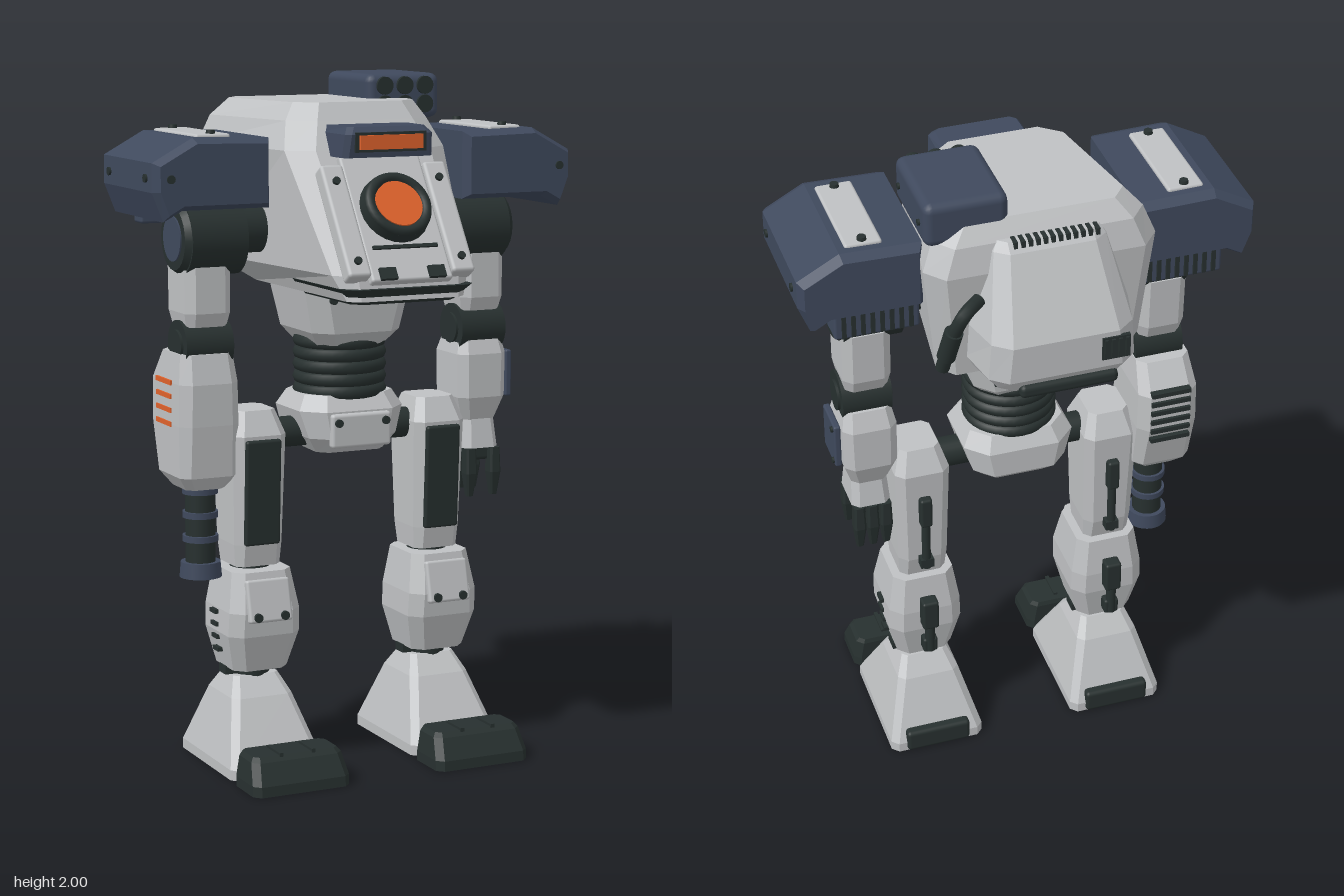
import * as THREE from 'three';
import { RoundedBoxGeometry } from 'three/addons/geometries/RoundedBoxGeometry.js';

const material = (name, color) => {
  const m = new THREE.MeshStandardMaterial({ color });
  m.name = name;
  return m;
};
const grey = material('light grey armour', 0xbfc1c3);
const blue = material('slate blue armour', 0x3f495d);
const dark = material('dark metal', 0x27302f);
const orange = material('orange glow', 0xe0632c);

function add(parent, name, mat, geo, x = 0, y = 0, z = 0) {
  const m = new THREE.Mesh(geo, mat);
  m.name = name;
  m.position.set(x, y, z);
  parent.add(m);
  return m;
}
const group = (parent, name, x = 0, y = 0, z = 0) => {
  const g = new THREE.Group();
  g.name = name;
  g.position.set(x, y, z);
  parent.add(g);
  return g;
};
const box = (p, name, mat, w, h, d, x, y, z) => add(p, name, mat, new THREE.BoxGeometry(w, h, d), x, y, z);
const rbox = (p, name, mat, w, h, d, x, y, z, r = 0.015) =>
  add(p, name, mat, new RoundedBoxGeometry(w, h, d, 2, r), x, y, z);
function cyl(p, name, mat, r0, r1, len, x, y, z, axis = 'y') {
  const g = new THREE.CylinderGeometry(r1, r0, len, 24);
  if (axis === 'x') g.rotateZ(-Math.PI / 2);
  if (axis === 'z') g.rotateX(Math.PI / 2);
  return add(p, name, mat, g, x, y, z);
}

// Stacked chamfered sections, bottom to top: [y, frontHalfWidth, backHalfWidth, zFront, zBack, chamfer]
function loft(p, name, mat, rows, x = 0, y = 0, z = 0) {
  const pos = [], idx = [], n = 8;
  for (const [h, wf, wb, zf, zb, c] of rows) {
    const k = [[wf, zf], [wb, zb], [-wb, zb], [-wf, zf]].map(q => new THREE.Vector2(...q));
    k.forEach((q, i) => {
      for (const other of [k[(i + 3) % 4], k[(i + 1) % 4]]) {
        const v = other.clone().sub(q).setLength(c).add(q);
        pos.push(v.x, h, v.y);
      }
    });
  }
  for (let r = 0; r < rows.length - 1; r++) {
    for (let i = 0; i < n; i++) {
      const a = r * n + i, b = r * n + (i + 1) % n;
      idx.push(a, b, b + n, a, b + n, a + n);
    }
  }
  const t = (rows.length - 1) * n;
  for (let i = 1; i < n - 1; i++) idx.push(0, i + 1, i, t, t + i, t + i + 1);
  const indexed = new THREE.BufferGeometry();
  indexed.setAttribute('position', new THREE.Float32BufferAttribute(pos, 3));
  indexed.setIndex(idx);
  const geo = indexed.toNonIndexed();
  geo.computeVertexNormals();
  return add(p, name, mat, geo, x, y, z);
}

function buildTorso(root) {
  const g = group(root, 'torso');
  loft(g, 'chestHull', grey, [
    [1.40, 0.18, 0.20, 0.46, -0.18, 0.03], [1.47, 0.205, 0.30, 0.447, -0.31, 0.05],
    [1.80, 0.24, 0.34, 0.227, -0.335, 0.06], [1.88, 0.21, 0.31, 0.173, -0.315, 0.06],
    [1.93, 0.18, 0.26, 0.14, -0.275, 0.05]]);
  loft(g, 'lowerJaw', dark, [[1.39, 0.16, 0.17, 0.44, 0.1, 0.03], [1.435, 0.2, 0.21, 0.475, 0.1, 0.03]]);

  // Sloping chest panel, local z points out of the slope
  const panel = group(g, 'chestPanel', 0, 1.63, 0.34);
  panel.rotation.x = -0.588;
  rbox(panel, 'centrePlate', grey, 0.25, 0.4, 0.03, 0, -0.02, 0.005, 0.008);
  for (const s of [-1, 1]) {
    rbox(panel, 'sideRail', grey, 0.07, 0.35, 0.05, s * 0.16, -0.03, 0.005, 0.01);
    for (const v of [-0.16, 0.09]) cyl(panel, 'railBolt', dark, 0.011, 0.011, 0.01, s * 0.16, v, 0.034, 'z');
    box(panel, 'chinVent', dark, 0.05, 0.035, 0.03, s * 0.075, -0.2, 0.015);
  }
  box(panel, 'panelSeam', dark, 0.2, 0.01, 0.01, 0, -0.118, 0.022);
  cyl(panel, 'lensHousing', dark, 0.106, 0.1, 0.04, 0, 0, 0.03, 'z');
  add(panel, 'lensRim', dark, new THREE.TorusGeometry(0.085, 0.015, 8, 32), 0, 0, 0.05);
  cyl(panel, 'lens', orange, 0.07, 0.07, 0.008, 0, 0, 0.054, 'z');

  // Head with visor
  loft(g, 'head', blue, [[1.785, 0.14, 0.14, 0.325, 0.15, 0.015], [1.85, 0.135, 0.135, 0.335, 0.15, 0.015],
    [1.87, 0.12, 0.125, 0.315, 0.165, 0.015]]);
  box(g, 'visorFrame', dark, 0.22, 0.055, 0.01, 0, 1.828, 0.331);
  box(g, 'visor', orange, 0.195, 0.04, 0.009, 0, 1.828, 0.339);

  // Launcher
  rbox(g, 'launcher', blue, 0.235, 0.13, 0.29, 0.205, 1.935, -0.135, 0.025);
  for (const x of [0.14, 0.205, 0.27]) for (const y of [1.966, 1.912]) {
    cyl(g, 'launchTube', dark, 0.026, 0.026, 0.02, x, y, 0.008, 'z');
  }
  for (const z of [-0.23, -0.04]) cyl(g, 'launcherBolt', dark, 0.009, 0.009, 0.01, 0.324, 1.93, z, 'x');

  // Backpack
  loft(g, 'backpack', grey, [[1.49, 0.22, 0.17, -0.27, -0.455, 0.03], [1.53, 0.24, 0.2, -0.27, -0.475, 0.04],
    [1.64, 0.24, 0.19, -0.27, -0.475, 0.04], [1.86, 0.18, 0.15, -0.25, -0.355, 0.03],
    [1.885, 0.16, 0.14, -0.25, -0.33, 0.02]], -0.01);
  rbox(g, 'backpackVent', dark, 0.28, 0.04, 0.12, -0.02, 1.492, -0.42);
  for (let i = 0; i < 12; i++) box(g, 'topSlat', dark, 0.011, 0.02, 0.035, -0.14 + i * 0.021, 1.879, -0.328);
  box(g, 'rearHatch', dark, 0.08, 0.07, 0.012, -0.15, 1.59, -0.474);
  for (let i = 0; i < 4; i++) box(g, 'hatchFin', dark, 0.01, 0.06, 0.012, -0.18 + i * 0.02, 1.59, -0.48);
  const path = new THREE.CatmullRomCurve3([[0.2, 1.74, -0.36], [0.25, 1.73, -0.4], [0.28, 1.65, -0.38],
    [0.3, 1.53, -0.345]].map(q => new THREE.Vector3(...q)));
  add(g, 'exhaustPipe', dark, new THREE.TubeGeometry(path, 16, 0.02, 10));
  const muffler = cyl(g, 'exhaustMuffler', dark, 0.026, 0.026, 0.1, 0.285, 1.62, -0.37);
  muffler.rotation.set(-0.28, 0, 0.15);

  // Waist and pelvis
  loft(g, 'upperWaist', grey, [[1.23, 0.11, 0.11, 0.12, -0.12, 0.04], [1.27, 0.14, 0.14, 0.16, -0.16, 0.05],
    [1.41, 0.17, 0.17, 0.175, -0.175, 0.05]]);
  for (let i = 0; i < 7; i++) box(g, 'waistSlat', dark, 0.013, 0.075, 0.012, -0.09 + i * 0.03, 1.34, -0.17);
  for (const x of [-0.1, 0.1]) cyl(g, 'waistBolt', dark, 0.012, 0.012, 0.012, x, 1.37, 0.174, 'z');
  cyl(g, 'waistCore', dark, 0.115, 0.115, 0.24, 0, 1.16, 0);
  for (let i = 0; i < 5; i++) {
    const ring = add(g, 'waistRing', dark, new THREE.TorusGeometry(0.118, 0.02, 8, 32), 0, 1.09 + i * 0.036, 0);
    ring.rotation.x = Math.PI / 2;
  }
  loft(g, 'pelvis', grey, [[0.915, 0.11, 0.1, 0.1, -0.1, 0.03], [0.96, 0.14, 0.14, 0.14, -0.15, 0.05],
    [1.04, 0.165, 0.165, 0.14, -0.15, 0.06], [1.085, 0.14, 0.14, 0.11, -0.12, 0.05]]);
  rbox(g, 'pelvisPlate', grey, 0.19, 0.1, 0.03, 0, 0.985, 0.14, 0.01);
  for (const x of [-0.075, 0.075]) cyl(g, 'pelvisBolt', dark, 0.012, 0.012, 0.012, x, 1.01, 0.157, 'z');
}

function buildShoulder(root, s) {
  const g = group(root, s > 0 ? 'leftShoulder' : 'rightShoulder');
  const shape = new THREE.Shape([[0.32, 1.825], [0.53, 1.83], [0.64, 1.77], [0.64, 1.7], [0.615, 1.635],
    [0.57, 1.66], [0.32, 1.66]].map(([x, y]) => new THREE.Vector2(s * x, y)));
  add(g, 'shoulderPod', blue, new THREE.ExtrudeGeometry(shape,
    { depth: 0.37, bevelThickness: 0.03, bevelSize: 0.015, bevelSegments: 1 }), 0, 0, -0.187);
  rbox(g, 'podPlate', grey, 0.105, 0.02, 0.32, s * 0.46, 1.842, -0.005, 0.008);
  for (const z of [-0.145, 0.135]) cyl(g, 'plateBolt', dark, 0.014, 0.012, 0.014, s * 0.46, 1.855, z);
  for (const z of [-0.14, 0.14]) cyl(g, 'podBolt', dark, 0.012, 0.012, 0.012, s * 0.655, 1.735, z, 'x');
  cyl(g, 'podFrontBolt', dark, 0.012, 0.012, 0.012, s * 0.61, 1.735, 0.212, 'z');
  // Rear vent under the pod
  rbox(g, 'podVentBlock', blue, 0.24, 0.12, 0.06, s * 0.44, 1.64, -0.175, 0.008);
  for (let i = 0; i < 8; i++) box(g, 'podVentSlat', dark, 0.012, 0.075, 0.012, s * (0.345 + i * 0.027), 1.625, -0.205);
  // Joint and upper arm
  cyl(g, 'shoulderJoint', dark, 0.108, 0.108, 0.17, s * 0.42, 1.55, 0.005, 'x');
  cyl(g, 'shoulderNeck', dark, 0.07, 0.07, 0.12, s * 0.32, 1.57, 0.005, 'x');
  cyl(g, 'jointRim', dark, 0.108, 0.09, 0.025, s * 0.51, 1.55, 0.005, 'x').rotation.y = s > 0 ? 0 : Math.PI;
  cyl(g, 'jointCap', blue, 0.065, 0.065, 0.01, s * 0.522, 1.55, 0.005, 'x');
  loft(g, 'upperArm', grey, [[1.3, 0.062, 0.062, 0.065, -0.075, 0.02], [1.34, 0.07, 0.07, 0.08, -0.09, 0.025],
    [1.5, 0.07, 0.07, 0.08, -0.095, 0.025]], s * 0.44);
  cyl(g, 'elbow', dark, 0.073, 0.073, 0.145, s * 0.44, 1.245, 0.005, 'x');
  cyl(g, 'elbowCap', dark, 0.045, 0.045, 0.16, s * 0.44, 1.245, 0.005, 'x');
}

function buildGunArm(root) {
  const g = group(root, 'gunForearm', -0.445, 0, 0);
  loft(g, 'forearmShell', grey, [[0.83, 0.06, 0.06, 0.06, -0.08, 0.02], [0.87, 0.088, 0.088, 0.09, -0.12, 0.025],
    [1.02, 0.092, 0.092, 0.1, -0.16, 0.03], [1.14, 0.09, 0.09, 0.1, -0.16, 0.03],
    [1.225, 0.08, 0.08, 0.08, -0.1, 0.025]]);
  for (let i = 0; i < 6; i++) box(g, 'coolingFin', dark, 0.12, 0.014, 0.022, 0, 0.99 + i * 0.032, -0.158);
  for (let i = 0; i < 4; i++) box(g, 'glowStrip', orange, 0.009, 0.014, 0.11, -0.091, 1.02 + i * 0.04, -0.04);
  cyl(g, 'barrel', dark, 0.044, 0.044, 0.26, 0, 0.72, 0);
  for (const y of [0.82, 0.75, 0.68]) cyl(g, 'barrelRing', blue, 0.052, 0.052, 0.018, 0, y, 0);
  cyl(g, 'muzzle', blue, 0.062, 0.058, 0.045, 0, 0.588, 0);
  cyl(g, 'bore', dark, 0.04, 0.04, 0.008, 0, 0.565, 0);
}

function buildHandArm(root) {
  const g = group(root, 'handForearm', 0.44, 0, 0);
  loft(g, 'forearmShell', grey, [[0.97, 0.055, 0.055, 0.06, -0.07, 0.02], [1.04, 0.078, 0.078, 0.085, -0.1, 0.025],
    [1.17, 0.08, 0.08, 0.085, -0.1, 0.025], [1.225, 0.068, 0.068, 0.065, -0.075, 0.02]]);
  rbox(g, 'wristScreen', blue, 0.02, 0.14, 0.125, 0.09, 1.105, 0.005, 0.006);
  for (const y of [1.05, 1.16]) cyl(g, 'screenBolt', dark, 0.009, 0.009, 0.012, 0.1, y, -0.04, 'x');
  loft(g, 'wrist', grey, [[0.885, 0.058, 0.058, 0.075, -0.075, 0.02], [0.975, 0.052, 0.052, 0.06, -0.06, 0.02]]);
  rbox(g, 'palm', dark, 0.1, 0.05, 0.12, 0, 0.87, 0, 0.012);
  for (const z of [0.065, -0.065]) for (const x of [-0.04, 0, 0.04]) {
    if (z > 0 && x === 0) continue;
    loft(g, 'finger', dark, [[0.74, 0.01, 0.01, 0.01, -0.01, 0.004], [0.81, 0.018, 0.018, 0.022, -0.022, 0.006],
      [0.885, 0.016, 0.016, 0.018, -0.018, 0.006]], x, 0, z);
  }
}

function buildLeg(root, s) {
  const g = group(root, s > 0 ? 'leftLeg' : 'rightLeg', s * 0.29, 0, 0);
  cyl(g, 'hipJoint', dark, 0.045, 0.045, 0.14, -s * 0.12, 0.97, 0, 'x');
  loft(g, 'thigh', grey, [[0.595, 0.07, 0.07, 0.075, -0.075, 0.02], [0.66, 0.075, 0.075, 0.085, -0.09, 0.025],
    [0.98, 0.082, 0.082, 0.1, -0.105, 0.025], [1.05, 0.06, 0.06, 0.065, -0.07, 0.02]]);
  const plate = rbox(g, 'thighPlate', dark, 0.11, 0.31, 0.02, 0, 0.815, 0.096, 0.008);
  plate.rotation.x = 0.045;
  // Rear pistons
  rbox(g, 'thighPiston', dark, 0.036, 0.1, 0.035, 0, 0.85, -0.108, 0.008);
  cyl(g, 'thighRod', dark, 0.013, 0.013, 0.22, 0, 0.75, -0.107);
  box(g, 'thighRodFoot', dark, 0.04, 0.03, 0.04, 0, 0.66, -0.1);
  cyl(g, 'knee', dark, 0.06, 0.06, 0.04, 0, 0.59, 0);
  loft(g, 'shin', grey, [[0.29, 0.085, 0.085, 0.1, -0.085, 0.03], [0.4, 0.112, 0.112, 0.135, -0.108, 0.035],
    [0.47, 0.11, 0.11, 0.14, -0.108, 0.035], [0.585, 0.092, 0.092, 0.11, -0.09, 0.03]]);
  const kneePlate = rbox(g, 'kneePlate', grey, 0.135, 0.125, 0.025, 0, 0.505, 0.134, 0.008);
  kneePlate.rotation.x = -0.24;
  for (const x of [-0.042, 0.042]) cyl(g, 'kneeBolt', dark, 0.013, 0.013, 0.014, x, 0.462, 0.157, 'z');
  for (let i = 0; i < 4; i++) box(g, 'shinVent', dark, 0.018, 0.012, 0.04, s * (0.104 + (i ? 0.003 * i : 0)), 0.345 + i * 0.038, 0.005);
  rbox(g, 'shinPiston', dark, 0.05, 0.1, 0.045, 0, 0.475, -0.125, 0.008);
  cyl(g, 'shinRod', dark, 0.015, 0.015, 0.14, 0, 0.4, -0.125);
  rbox(g, 'shinRodFoot', dark, 0.045, 0.05, 0.04, 0, 0.35, -0.115, 0.008);
  cyl(g, 'ankle', dark, 0.055, 0.055, 0.05, 0, 0.277, 0);
  box(g, 'anklePin', dark, 0.18, 0.025, 0.05, 0, 0.28, 0);

  // Foot
  loft(g, 'foot', grey, [[0, 0.145, 0.145, 0.208, -0.195, 0.02], [0.03, 0.145, 0.145, 0.208, -0.195, 0.02],
    [0.21, 0.095, 0.095, 0.1, -0.11, 0.02], [0.265, 0.07, 0.07, 0.05, -0.065, 0.015]]);
  loft(g, 'toe', dark, [[0, 0.15, 0.15, 0.38, 0.22, 0.02], [0.03, 0.15, 0.15, 0.378, 0.22, 0.02],
    [0.09, 0.14, 0.14, 0.345, 0.22, 0.02], [0.103, 0.13, 0.13, 0.33, 0.225, 0.015]]);
  for (const x of [-0.05, 0.05]) box(g, 'toeRidge', dark, 0.012, 0.014, 0.09, x, 0.103, 0.29);
  rbox(g, 'heel', dark, 0.2, 0.07, 0.05, 0, 0.036, -0.18, 0.012);
}

export function createModel() {
  const root = new THREE.Group();
  root.name = 'walkingRobot';
  buildTorso(root);
  for (const s of [-1, 1]) {
    buildShoulder(root, s);
    buildLeg(root, s);
  }
  buildGunArm(root);
  buildHandArm(root);
  return root;
}
